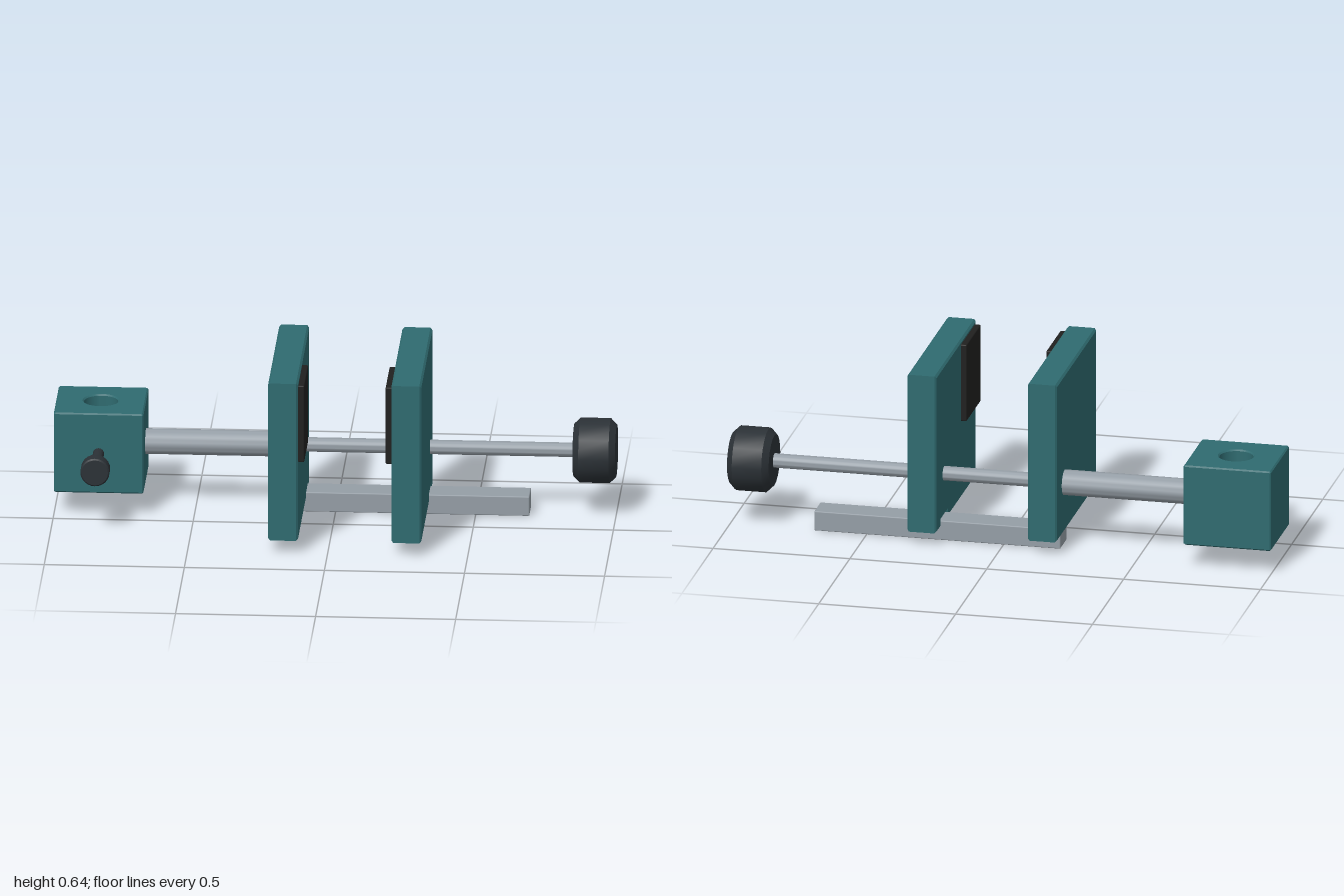
import * as THREE from 'three';
import { toCreasedNormals } from 'three/addons/utils/BufferGeometryUtils.js';
import { RoundedBoxGeometry } from 'three/addons/geometries/RoundedBoxGeometry.js';

const AXIS_Y = 0.236, AXIS_Z = -0.182;

export function createModel() {
  const group = new THREE.Group();
  const paint = (color) => new THREE.MeshStandardMaterial({ color });
  const teal = paint(0x2f6b70), steel = paint(0x959ea6), black = paint(0x2b3136), rubber = paint(0x20201f);

  const add = (name, geometry, material, x = 0, y = 0, z = 0) => {
    const mesh = new THREE.Mesh(geometry, material);
    mesh.name = name;
    mesh.position.set(x, y, z);
    group.add(mesh);
    return mesh;
  };

  const polygon = (points) => new THREE.Shape(points.map(([x, y]) => new THREE.Vector2(x, y)));

  // Chamfered slab whose thickness, chamfers included, is exactly t
  const slab = (shape, t, b) => {
    const g = new THREE.ExtrudeGeometry(shape, {
      depth: t - 2 * b, bevelEnabled: true, bevelThickness: b, bevelSize: b,
      bevelOffset: -b, bevelSegments: 1, curveSegments: 20,
    });
    g.translate(0, 0, b);
    return toCreasedNormals(g, 0.5);
  };

  // Turned part with chamfered rims, running along y from 0 to length
  const turned = (r, length, chamfer, sides) => toCreasedNormals(new THREE.LatheGeometry([
    [0, 0], [r - chamfer, 0], [r, chamfer], [r, length - chamfer], [r - chamfer, length], [0, length],
  ].map(([x, y]) => new THREE.Vector2(x, y)), sides), 0.5);

  const alongX = (name, r, x0, x1, chamfer, material, sides = 28) =>
    add(name, turned(r, x1 - x0, chamfer, sides).rotateZ(-Math.PI / 2), material, x0, AXIS_Y, AXIS_Z);
  const alongZ = (name, r, z0, z1, chamfer, material) =>
    add(name, turned(r, z1 - z0, chamfer, 24).rotateX(Math.PI / 2), material, -0.84, AXIS_Y, z0);

  // Jaws: profile drawn with horizontal = -z; the moving one is notched for the guide bar
  const top = [[0.308, 0.642], [-0.332, 0.642]];
  const bottom = [[-0.332, 0.05], [0.308, 0.05]];
  const notch = [[0.123, 0.05], [0.123, 0.076], [0.237, 0.076], [0.237, 0.05]];
  const jaw = (name, x, outline) =>
    add(name, slab(polygon(outline), 0.107, 0.007).rotateY(Math.PI / 2), teal, x);
  jaw('fixedJaw', -0.212, [...top, ...bottom]);
  jaw('movingJaw', 0.228, [...top, bottom[0], ...notch, bottom[1]]);

  // Grip pads on the facing sides of the jaws
  for (const [name, x] of [['fixedJawPad', -0.097], ['movingJawPad', 0.22]]) {
    add(name, new RoundedBoxGeometry(0.027, 0.288, 0.23, 1, 0.004), rubber, x, 0.485, 0.2);
  }

  // Guide bar under the jaws
  add('guideBar', new RoundedBoxGeometry(0.9, 0.073, 0.102, 1, 0.004), steel, 0.242, 0.0365, -0.181);

  // Mounting block with a vertical through hole
  const face = polygon([
    [-0.155, -0.148], [0.155, -0.148], [0.16, -0.143], [0.16, 0.143],
    [0.155, 0.148], [-0.155, 0.148], [-0.16, 0.143], [-0.16, -0.143],
  ]);
  face.holes.push(new THREE.Path().absarc(0, 0, 0.061, 0, Math.PI * 2, true));
  add('mountingBlock', slab(face, 0.3, 0.005).rotateX(-Math.PI / 2), teal, -0.84, 0.086, -0.184);

  // Support rod, clamping screw and its knob
  alongX('supportRod', 0.046, -0.69, -0.2, 0.001, steel);
  alongX('clampingScrew', 0.026, -0.11, 0.86, 0.001, steel);
  alongX('clampingKnob', 0.116, 0.848, 1, 0.022, black, 20);

  // Locking screw in the front of the block
  alongZ('lockingScrew', 0.02, -0.1, 0.13, 0.001, black);
  alongZ('lockingScrewHead', 0.052, 0.12, 0.175, 0.005, black);

  return group;
}
